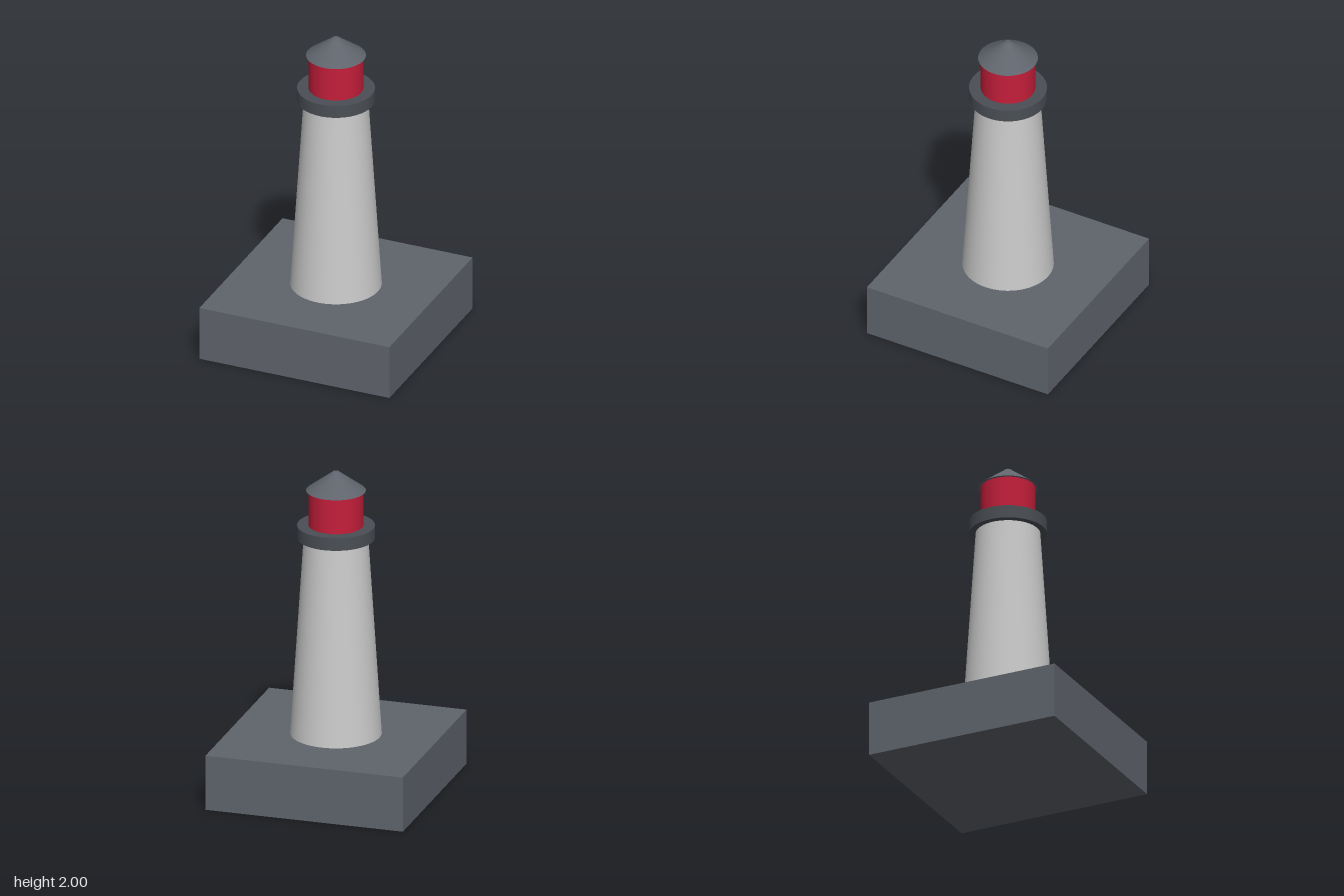
import * as THREE from 'three';

const SEGMENTS = 64;
const material = (color) => new THREE.MeshStandardMaterial({ color });

export function createModel() {
  const model = new THREE.Group();
  model.name = 'lighthouse';
  const slate = material(0x5f646c);

  const add = (name, geometry, mat, y) => {
    const mesh = new THREE.Mesh(geometry, mat);
    mesh.name = name;
    mesh.position.y = y;
    model.add(mesh);
  };

  // A round section standing between two heights
  const addRound = (name, bottomRadius, topRadius, y0, y1, mat) =>
    add(name, new THREE.CylinderGeometry(topRadius, bottomRadius, y1 - y0, SEGMENTS), mat, (y0 + y1) / 2);

  // Square plinth
  add('base', new THREE.BoxGeometry(1.234, 0.343, 1.234), slate, 0.343 / 2);

  // Tapered tower, gallery, lantern room and blunt conical roof
  addRound('tower', 0.273, 0.193, 0.343, 1.58, material(0xcccccc));
  addRound('gallery', 0.232, 0.232, 1.58, 1.66, material(0x4a4f55));
  addRound('lanternRoom', 0.163, 0.163, 1.66, 1.88, material(0xc41e3a));
  addRound('roof', 0.178, 0.016, 1.88, 2, slate);

  return model;
}
